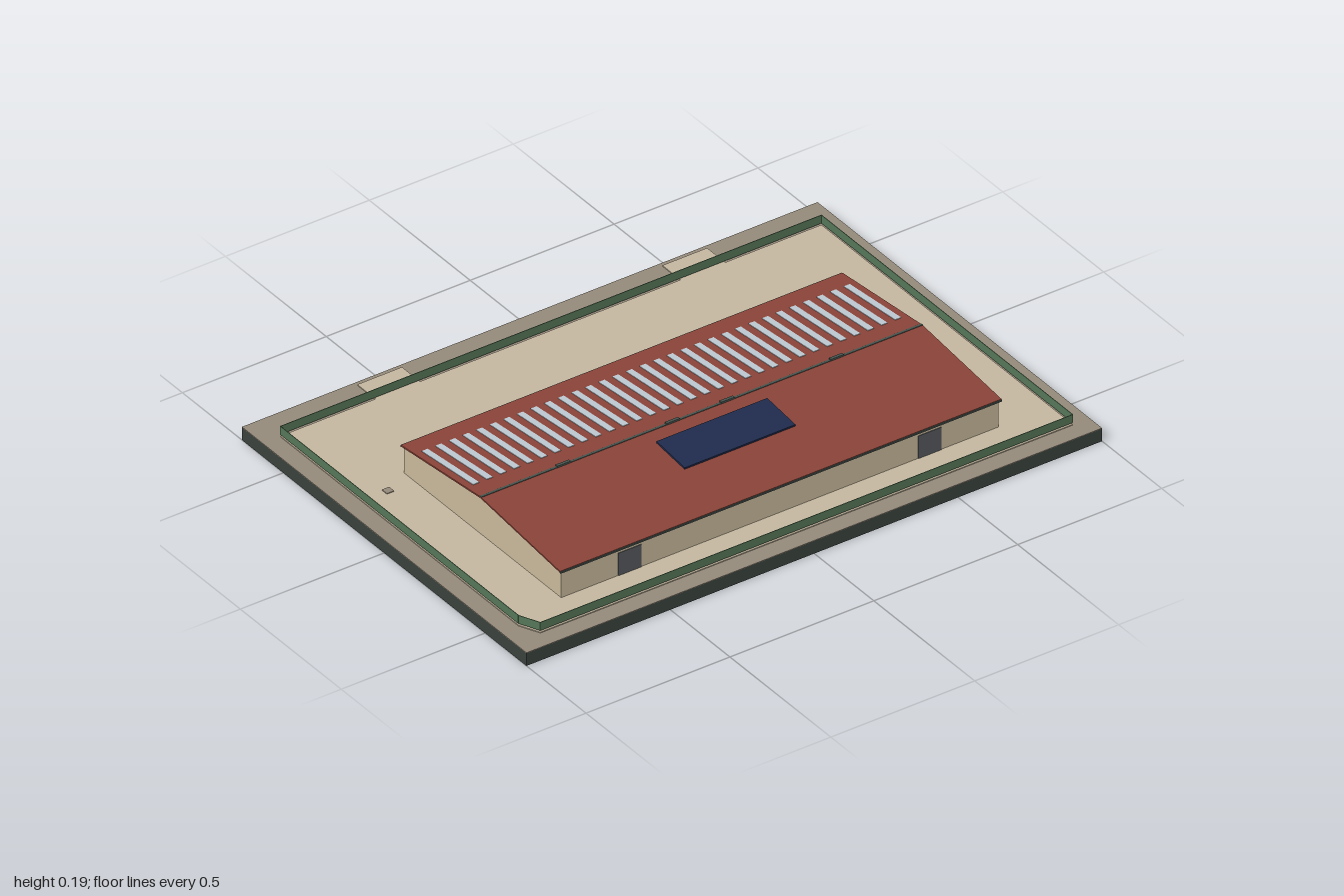
import * as THREE from 'three';

const mat = (name, color) => {
  const m = new THREE.MeshStandardMaterial({ color });
  m.name = name;
  return m;
};

export function createModel() {
  const root = new THREE.Group();
  root.name = 'warehouseSite';

  const plinthMat = mat('dark plinth', 0x3a423d);
  const groundMat = mat('taupe ground', 0x958a7a);
  const yardMat = mat('beige paving', 0xc4b79f);
  const wallMat = mat('cream wall', 0xc9b99b);
  const roofMat = mat('red roof', 0x8a4338);
  const glassMat = mat('pale skylight', 0xbcc8d0);
  const solarMat = mat('navy solar', 0x1f2b4d);
  const doorMat = mat('grey door', 0x55595c);
  const fenceMat = mat('green fence', 0x557657);
  const trimMat = mat('grey green trim', 0x46544e);

  const add = (name, geo, material, x = 0, y = 0, z = 0, parent = root) => {
    const m = new THREE.Mesh(geo, material);
    m.name = name;
    m.position.set(x, y, z);
    parent.add(m);
    return m;
  };
  const box = (name, material, w, h, d, x, y, z, parent) =>
    add(name, new THREE.BoxGeometry(w, h, d), material, x, y, z, parent);

  // Plinth with ground sheet
  box('plinth', plinthMat, 2, 0.043, 1.41, 0, 0.0215, 0);
  box('ground', groundMat, 2, 0.002, 1.41, 0, 0.044, 0);

  // Paved yard, one front corner cut off
  const outline = [[-0.94, -0.6], [0.94, -0.6], [0.94, 0.645], [-0.91, 0.645], [-0.94, 0.58]];
  const yardShape = new THREE.Shape(outline.map(([x, z]) => new THREE.Vector2(x, -z)));
  const yardGeo = new THREE.ExtrudeGeometry(yardShape, { depth: 0.003, bevelEnabled: false });
  yardGeo.rotateX(-Math.PI / 2);
  add('yard', yardGeo, yardMat, 0, 0.045, 0);

  // Driveways leading out at the back
  for (const x of [-0.532, 0.528]) box('driveway', yardMat, 0.155, 0.003, 0.09, x, 0.0465, -0.645);

  // Thin fence along the edge of the yard
  const fence = new THREE.Group();
  fence.name = 'fence';
  root.add(fence);
  outline.forEach(([x0, z0], i) => {
    const [x1, z1] = outline[(i + 1) % outline.length];
    const len = Math.hypot(x1 - x0, z1 - z0);
    const panel = box('fencePanel', fenceMat, len, 0.028, 0.002, (x0 + x1) / 2, 0.068, (z0 + z1) / 2, fence);
    panel.rotation.y = -Math.atan2(z1 - z0, x1 - x0);
  });

  // Gabled hall: a cross-section drawn in z and y, extruded along x
  const ridgeZ = 0.145, half = 0.39, eaveY = 0.138, ridgeY = 0.177;
  const section = (points, length) => {
    const shape = new THREE.Shape(points.map(([z, y]) => new THREE.Vector2(z, y)));
    const geo = new THREE.ExtrudeGeometry(shape, { depth: length, bevelEnabled: false });
    geo.translate(0, 0, -length / 2);
    geo.rotateY(-Math.PI / 2);
    return geo;
  };
  add('walls', section([[-half, 0.048], [half, 0.048], [half, eaveY], [0, ridgeY], [-half, eaveY]], 1.52),
    wallMat, 0, 0, ridgeZ);
  const e = half + 0.004, t = 0.005;
  add('roof', section([[-e, eaveY], [0, ridgeY], [e, eaveY], [e, eaveY + t], [0, ridgeY + t], [-e, eaveY + t]], 1.534),
    roofMat, 0, 0, ridgeZ);

  // Gutters, ridge cap and ridge vents
  for (const s of [-1, 1]) box('gutter', trimMat, 1.534, 0.005, 0.005, 0, eaveY + 0.001, ridgeZ + s * (e + 0.001));
  box('ridgeCap', trimMat, 1.534, 0.003, 0.008, 0, ridgeY + t, ridgeZ);
  for (const x of [-0.48, -0.1, 0.09, 0.47]) box('ridgeVent', trimMat, 0.045, 0.006, 0.01, x, 0.185, ridgeZ);

  // Plates lying on the roof slopes
  const slope = Math.atan2(ridgeY - eaveY, half);
  const onRoof = (name, material, w, thick, z0, z1, x) => {
    const mid = (z0 + z1) / 2, off = mid - ridgeZ;
    const y = ridgeY + t - Math.abs(off) * Math.tan(slope) + thick / 2;
    const m = box(name, material, w, thick, (z1 - z0) / Math.cos(slope), x, y, mid);
    m.rotation.x = Math.sign(off) * slope;
  };
  for (let i = 0; i < 32; i++) onRoof('skylight', glassMat, 0.021, 0.002, -0.18, 0.075, -0.733 + i * 0.0473);
  onRoof('solarPanels', solarMat, 0.385, 0.006, 0.2, 0.34, -0.002);

  // Loading doors on the front, back and one gable
  const frontZ = ridgeZ + half, backZ = ridgeZ - half;
  for (const x of [-0.522, 0.52]) box('frontDoor', doorMat, 0.08, 0.077, 0.004, x, 0.0865, frontZ);
  for (const x of [-0.52, -0.23, 0.23, 0.52]) box('backDoor', doorMat, 0.08, 0.077, 0.004, x, 0.0865, backZ);
  box('sideDoor', doorMat, 0.004, 0.088, 0.082, 0.76, 0.092, 0.29);

  // Slab beside the gable and a small drain cover
  box('sideSlab', doorMat, 0.043, 0.004, 0.155, 0.815, 0.05, 0.215);
  box('drainCover', groundMat, 0.025, 0.003, 0.025, -0.85, 0.049, -0.195);

  return root;
}
